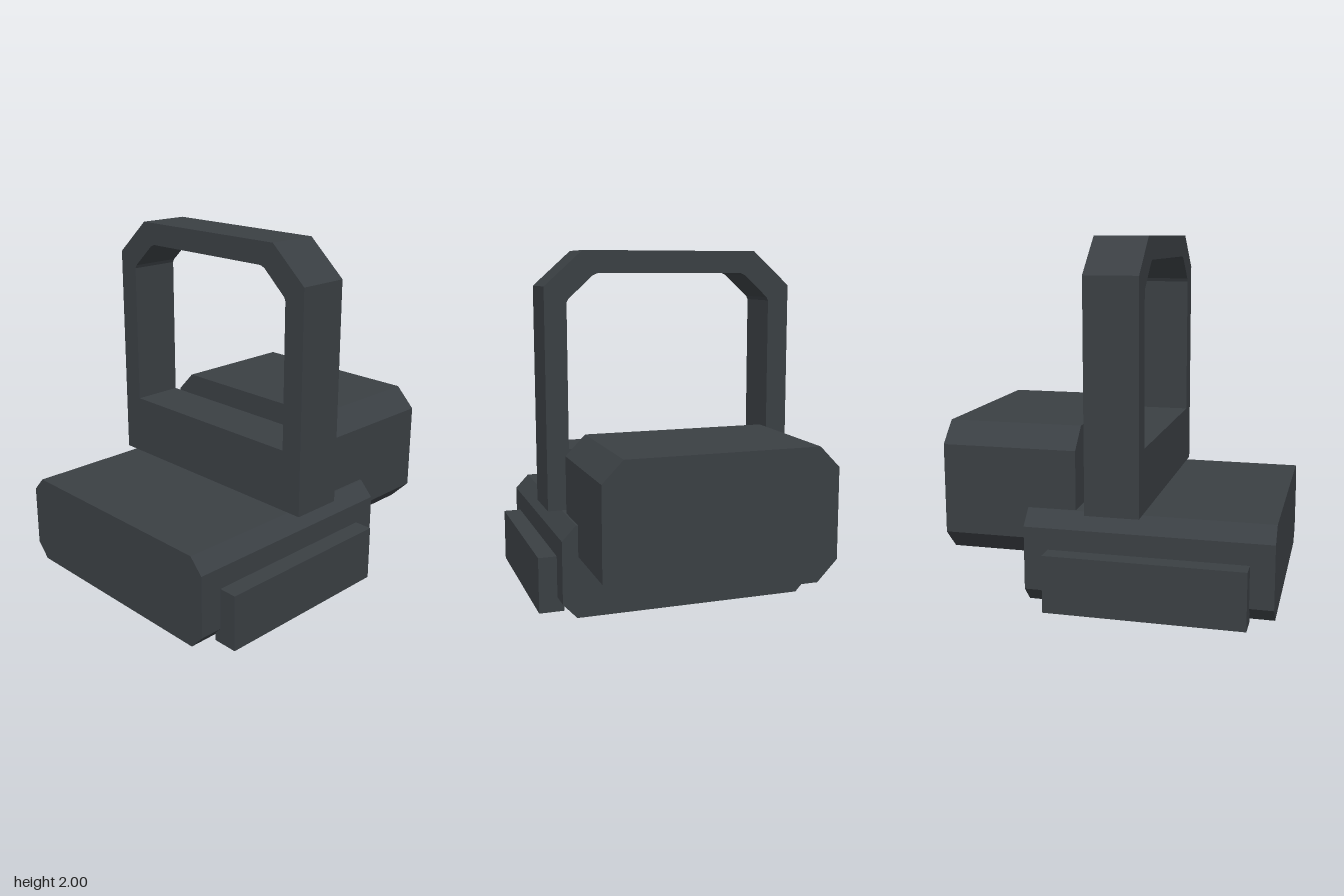
import * as THREE from 'three';

// Closed outline from half-profile points (x > 0, bottom to top), mirrored in x
function mirrored(points, Type = THREE.Shape) {
  const right = points.map(([x, y]) => new THREE.Vector2(x, y));
  const left = points.map(([x, y]) => new THREE.Vector2(-x, y)).reverse();
  return new Type([...right, ...left]);
}

// Straight extrusion of an outline between two z positions
function extrude(shape, zBack, zFront) {
  const geometry = new THREE.ExtrudeGeometry(shape, { depth: zFront - zBack, bevelEnabled: false });
  return geometry.translate(0, 0, zBack);
}

export function createModel() {
  const group = new THREE.Group();
  const charcoal = new THREE.MeshStandardMaterial({ color: 0x3a3f43 });
  charcoal.name = 'charcoal';

  const add = (name, geometry) => {
    const mesh = new THREE.Mesh(geometry, charcoal);
    mesh.name = name;
    group.add(mesh);
    return mesh;
  };

  // Low block with chamfered long edges
  const base = mirrored([[0.665, 0], [0.745, 0.085], [0.745, 0.44], [0.665, 0.525]]);
  add('base', extrude(base, -0.435, 0.93));

  // Rails along both sides of the base
  for (const [side, name] of [[1, 'leftRail'], [-1, 'rightRail']]) {
    add(name, new THREE.BoxGeometry(0.145, 0.32, 1.1)).position.set(side * 0.7775, 0.16, 0.25);
  }

  // Raised block at the back
  const rear = mirrored([[0.54, 0.23], [0.655, 0.348], [0.655, 0.855], [0.54, 0.973]]);
  add('rearHousing', extrude(rear, -0.93, -0.165));

  // Upright window frame with cut corners and a slightly eased opening
  const frame = mirrored([[0.745, 0.525], [0.745, 1.8], [0.522, 2]]);
  frame.holes.push(mirrored([
    [0.617, 0.88], [0.617, 1.71], [0.607, 1.73], [0.465, 1.86], [0.435, 1.873],
  ], THREE.Path));
  add('windowFrame', extrude(frame, -0.09, 0.21));

  return group;
}
